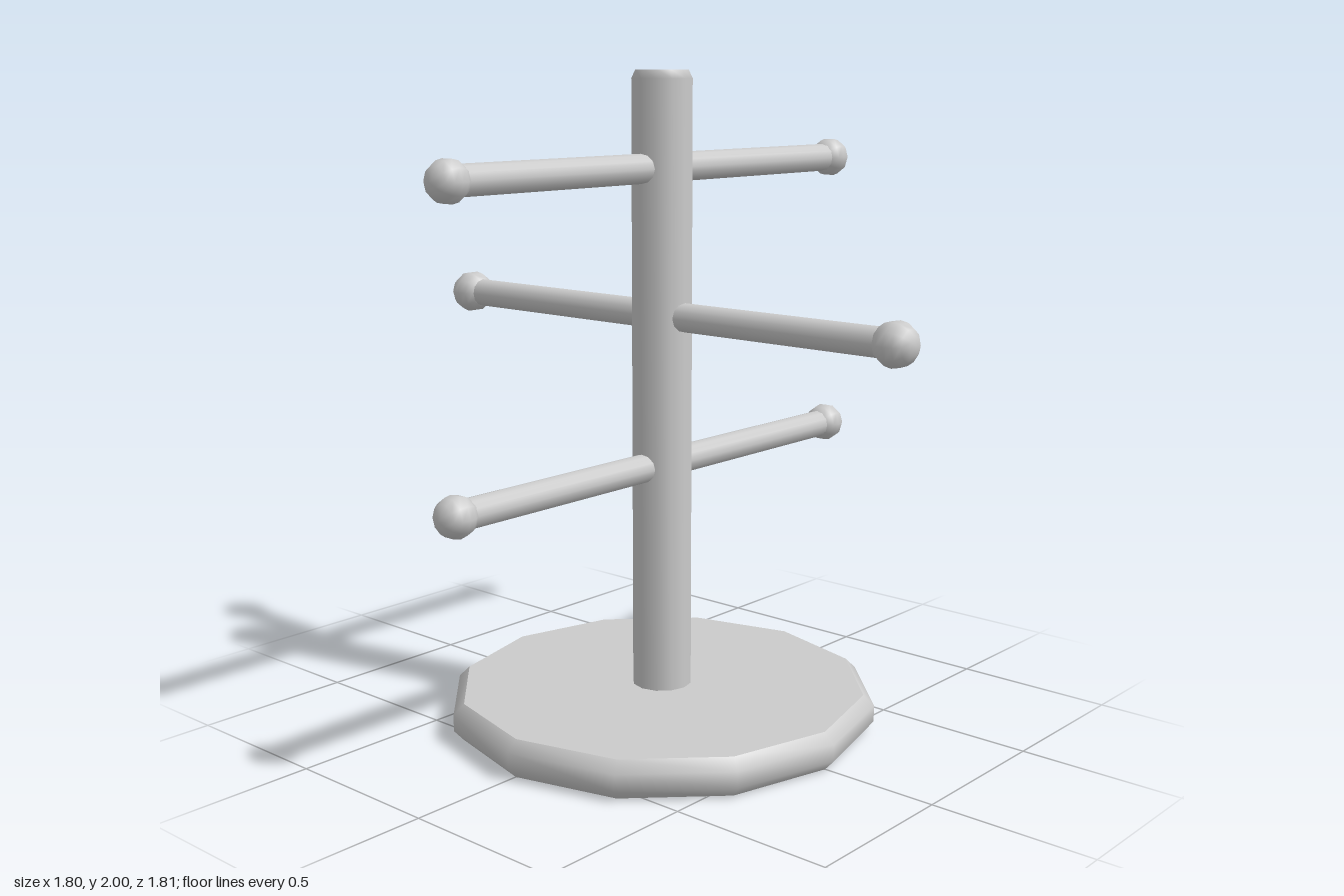
import * as THREE from 'three';

const material = new THREE.MeshStandardMaterial({ color: 0xcccccc });

function addMesh(parent, name, geometry) {
  const mesh = new THREE.Mesh(geometry, material);
  mesh.name = name;
  parent.add(mesh);
  return mesh;
}

// Turned solid; a repeated profile point keeps that edge sharp
function turned(profile, sides) {
  return new THREE.LatheGeometry(profile.map(([r, y]) => new THREE.Vector2(r, y)), sides);
}

// Straight rod through the post along x, with a ball on each end
function makeArm(name, y, ballRadius) {
  const arm = new THREE.Group();
  arm.name = name;
  const reach = 0.84;
  addMesh(arm, 'rod', new THREE.CylinderGeometry(0.044, 0.044, reach * 2, 12).rotateZ(Math.PI / 2));
  for (const side of [-1, 1]) {
    const ball = new THREE.SphereGeometry(ballRadius, 10, 8).rotateY(Math.PI / 2).rotateZ(Math.PI / 2);
    addMesh(arm, side > 0 ? 'leftBall' : 'rightBall', ball).position.x = side * reach;
  }
  arm.position.y = y;
  return arm;
}

export function createModel() {
  const model = new THREE.Group();
  model.name = 'mugTree';

  // Twelve-sided foot with bevelled rim
  addMesh(model, 'base', turned([
    [0, 0], [0.635, 0], [0.635, 0], [0.665, 0.032], [0.665, 0.083],
    [0.632, 0.115], [0.632, 0.115], [0, 0.115],
  ], 12));

  // Upright post with softened top
  addMesh(model, 'post', turned([
    [0.092, 0.1], [0.092, 1.975], [0.08, 2], [0.08, 2], [0, 2],
  ], 12));

  // Three crossing arms, the middle one turned front to back
  model.add(makeArm('lowerArm', 0.815, 0.062));
  const middle = makeArm('middleArm', 1.275, 0.067);
  middle.rotation.y = Math.PI / 2;
  model.add(middle);
  model.add(makeArm('upperArm', 1.715, 0.062));

  return model;
}
